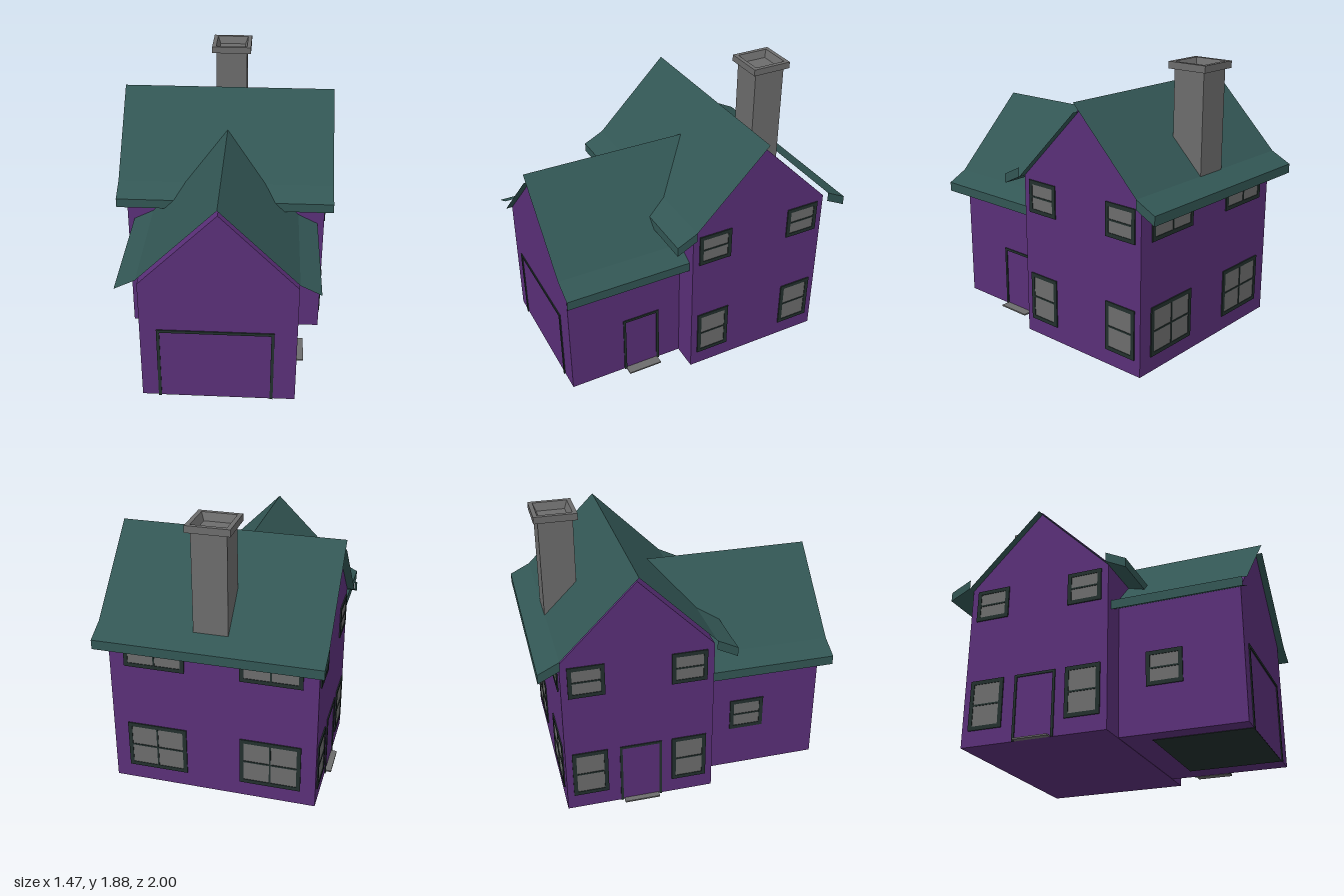
import * as THREE from 'three';

const mat = (name, color) => {
  const m = new THREE.MeshStandardMaterial({ color });
  m.name = name;
  return m;
};

export function createModel() {
  const house = new THREE.Group();
  house.name = 'house';
  const wall = mat('wallPurple', 0x5a2f78);
  const roofing = mat('roofTeal', 0x325654);
  const trim = mat('trimDark', 0x222f2d);
  const grey = mat('stoneGrey', 0x6c6c6c);

  const add = (name, geo, material, parent = house) => {
    const m = new THREE.Mesh(geo, material);
    m.name = name;
    parent.add(m);
    return m;
  };
  const box = (name, x0, x1, y0, y1, z0, z1, material) =>
    add(name, new THREE.BoxGeometry(x1 - x0, y1 - y0, z1 - z0), material)
      .position.set((x0 + x1) / 2, (y0 + y1) / 2, (z0 + z1) / 2);
  const poly = (pts) => new THREE.Shape(pts.map(([x, y]) => new THREE.Vector2(x, y)));
  const extrude = (shape, depth) => new THREE.ExtrudeGeometry(shape, { depth, bevelEnabled: false });

  // Gabled wall block, extruded along z
  const gable = (h, y0, eave, peak, depth) =>
    extrude(poly([[-h, y0], [h, y0], [h, eave], [0, peak], [-h, eave]]), depth);

  // Roof shell along z: steep slopes, flatter eaves, open gable ends
  function roofShell(peak, h, e, drop, z0, z1, eaveCaps) {
    const t = 0.063;
    const top = [[0, peak], [h, peak - h], [e, peak - h - drop]];
    const under = top.map(([x, y]) => [x, y - t]);
    const mirror = (pts) => pts.map(([x, y]) => [-x, y]);
    const loop = [
      ...top, ...under.slice().reverse(),
      ...mirror(under.slice(1)), ...mirror(top.slice(1)).reverse(),
    ];
    const pos = [];
    const quad = (a, b, c, d) => pos.push(...a, ...b, ...c, ...a, ...c, ...d);
    loop.forEach(([ax, ay], i) => {
      const [bx, by] = loop[(i + 1) % loop.length];
      quad([ax, ay, z1], [bx, by, z1], [bx, by, z0], [ax, ay, z0]);
    });
    if (eaveCaps) {
      for (const s of [-1, 1]) {
        for (const z of [z0, z1]) {
          const c = [under[1], under[2], top[2], top[1]].map(([x, y]) => [s * x, y, z]);
          if ((s > 0) !== (z === z1)) c.reverse();
          quad(...c);
        }
      }
    }
    const g = new THREE.BufferGeometry();
    g.setAttribute('position', new THREE.Float32BufferAttribute(pos, 3));
    g.computeVertexNormals();
    return g;
  }

  // Main block and garage wing
  const mainWalls = gable(0.5, 0, 1.13, 1.63, 1.37);
  mainWalls.translate(0, 0, -0.685).rotateY(Math.PI / 2).translate(0, 0, -0.36);
  add('mainWalls', mainWalls, wall);
  const wing = gable(0.505, 0.003, 0.885, 1.39, 0.815);
  wing.translate(0, 0, 0.14);
  add('garageWalls', wing, wall);
  box('garageFloor', -0.39, 0.35, 0, 0.005, 0.32, 0.954, trim);

  // Roofs
  const mainRoof = roofShell(1.677, 0.5, 0.64, 0.07, -0.735, 0.735, true);
  mainRoof.rotateY(Math.PI / 2).translate(0, 0, -0.36);
  add('mainRoof', mainRoof, roofing);
  add('garageRoof', roofShell(1.45, 0.505, 0.64, 0.068, -0.133, 1, false), roofing);

  // Square chimney with a hollow cap
  const profile = [[0.112, 1.12], [0.112, 1.835], [0.14, 1.835], [0.14, 1.88],
    [0.112, 1.88], [0.092, 1.83], [0, 1.83]];
  const chimney = new THREE.LatheGeometry(
    profile.map(([r, y]) => new THREE.Vector2(r * Math.SQRT2, y)), 4)
    .rotateY(Math.PI / 4).toNonIndexed();
  chimney.computeVertexNormals();
  add('chimney', chimney, grey).position.z = -0.75;

  // Window: frame with panes cut out, over a thin glass plate
  function windowUnit(w, h, cols) {
    const g = new THREE.Group();
    g.name = 'window';
    const f = 0.027, bar = 0.011;
    const s = poly([[-w / 2, 0], [w / 2, 0], [w / 2, h], [-w / 2, h]]);
    const pw = (w - 2 * f - (cols - 1) * bar) / cols;
    const ph = (h - 2 * f - bar) / 2;
    for (let c = 0; c < cols; c++) {
      for (let r = 0; r < 2; r++) {
        const x = -w / 2 + f + c * (pw + bar), y = f + r * (ph + bar);
        s.holes.push(poly([[x, y], [x, y + ph], [x + pw, y + ph], [x + pw, y]]));
      }
    }
    add('windowFrame', extrude(s, 0.008), trim, g);
    const glass = add('windowGlass', new THREE.BoxGeometry(w - f, h - f, 0.004), grey, g);
    glass.position.set(0, h / 2, 0.002);
    return g;
  }

  // Door surround, open at the bottom
  function doorFrame(w, h, f) {
    const g = new THREE.Group();
    g.name = 'doorFrame';
    const a = w / 2, b = a - f;
    add('doorTrim', extrude(poly([[-a, 0], [-b, 0], [-b, h - f], [b, h - f],
      [b, 0], [a, 0], [a, h], [-a, h]]), 0.007), trim, g);
    return g;
  }
  const place = (unit, x, y, z, turn) => {
    unit.position.set(x, y, z);
    unit.rotation.y = turn;
    house.add(unit);
  };

  // Two rows of windows on both sides and the back
  for (const [y, h] of [[0.105, 0.335], [0.873, 0.223]]) {
    for (const s of [-1, 1]) {
      for (const z of [-0.025, -0.697]) {
        place(windowUnit(0.237, h, 1), s * 0.685, y, z, s * Math.PI / 2);
      }
      place(windowUnit(0.405, h, 2), s * 0.383, y, -0.86, Math.PI);
    }
  }
  place(windowUnit(0.24, 0.23, 1), -0.505, 0.31, 0.445, -Math.PI / 2);

  // Doors and doorsteps
  place(doorFrame(0.757, 0.54, 0.02), -0.019, 0, 0.955, 0);
  place(doorFrame(0.265, 0.44, 0.017), 0.505, 0, 0.435, Math.PI / 2);
  place(doorFrame(0.285, 0.44, 0.017), -0.685, 0, -0.355, -Math.PI / 2);
  box('garageStep', 0.505, 0.57, 0, 0.01, 0.315, 0.555, grey);
  box('sideStep', -0.726, -0.685, 0, 0.01, -0.475, -0.235, grey);

  return house;
}
